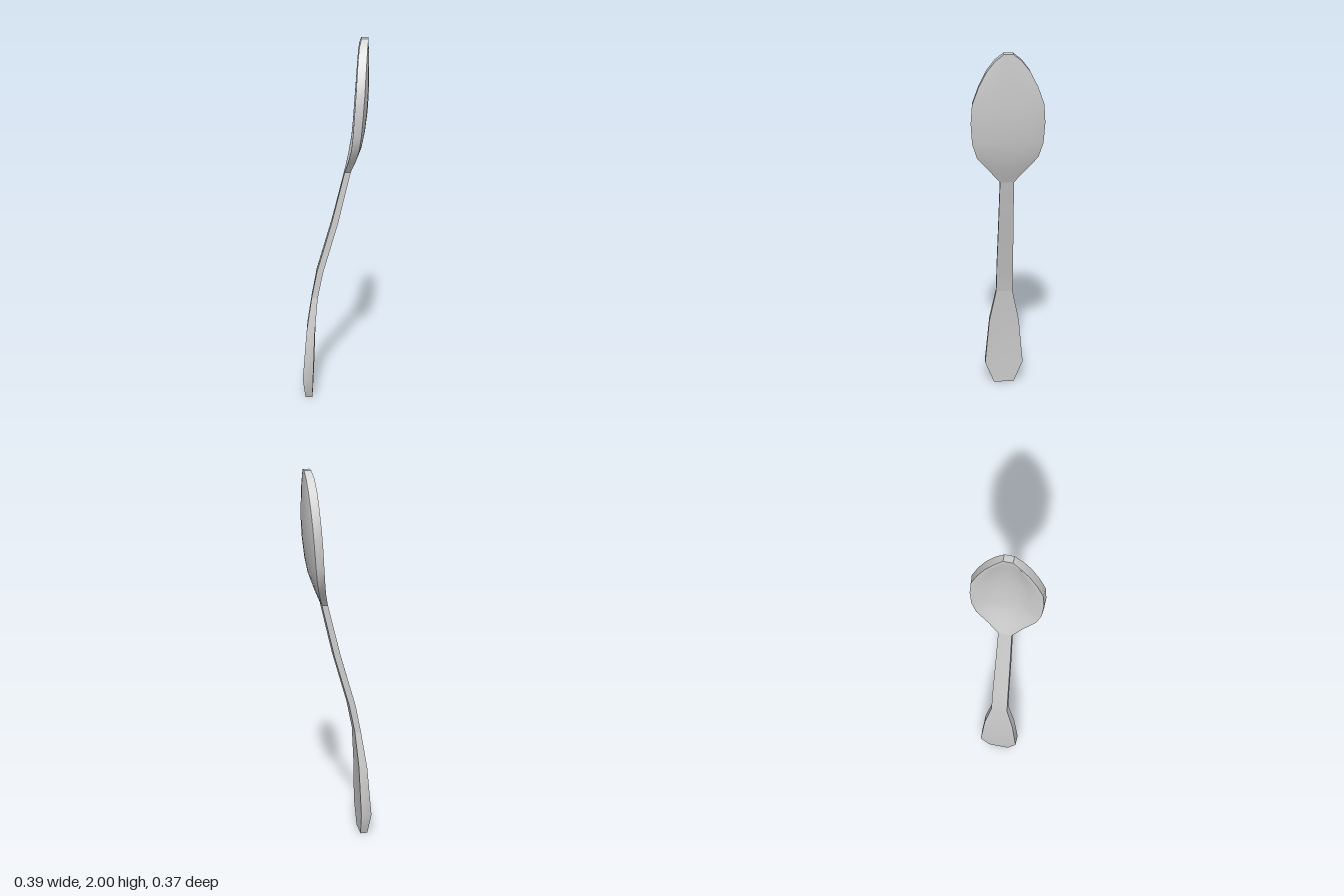
import * as THREE from 'three';
import { toCreasedNormals } from 'three/addons/utils/BufferGeometryUtils.js';

const W0 = -0.025; // sideways offset of the spoon's centre plane

// Station: [height, inner-face depth, outer-face depth, half width, dish of inner face, bulge of outer face]
const TAIL = [
  [0.00, -0.172, -0.134, 0.056, 0, 0],
  [0.13, -0.184, -0.128, 0.106, 0.008, -0.004],
  [0.40, -0.163, -0.118, 0.082, 0.006, -0.003],
  [0.59, -0.135, -0.102, 0.045, 0, 0],
];
const STEM = [
  TAIL[3],
  [0.74, -0.106, -0.072, 0.044, -0.003, 0],
  [1.02, -0.026, 0.008, 0.040, -0.003, 0],
  [1.30, 0.042, 0.073, 0.036, 0, 0],
];
const BOWL = [
  STEM[3],
  [1.37, 0.060, 0.096, 0.090, 0.014, 0.006],
  [1.45, 0.076, 0.116, 0.156, 0.030, 0.014],
  [1.53, 0.084, 0.126, 0.180, 0.040, 0.020],
  [1.64, 0.091, 0.135, 0.187, 0.046, 0.024],
  [1.74, 0.098, 0.142, 0.180, 0.046, 0.022],
  [1.83, 0.103, 0.147, 0.148, 0.038, 0.017],
  [1.91, 0.108, 0.152, 0.108, 0.026, 0.012],
  [1.965, 0.114, 0.156, 0.066, 0.012, 0.005],
  [2.00, 0.124, 0.160, 0.024, 0, 0],
];

// One closed cross-section: inner face with a flat lip, then the outer face back again
function ring([y, inner, outer, half, dish, bulge]) {
  const across = [-1, -0.87, -0.6, -0.3, 0, 0.3, 0.6, 0.87, 1];
  const front = across.map((f) => {
    const d = Math.max(0, 1 - (f / 0.87) ** 2);
    return new THREE.Vector3(inner + dish * d, y, W0 + f * half * 0.98);
  });
  const back = across.map((f) => {
    const b = 1 - Math.abs(f) ** 3;
    return new THREE.Vector3(outer + bulge * b, y, W0 + f * half);
  });
  return [...front, ...back.reverse()];
}

// Skin the stations, optionally closing the lowest or highest one
function loft(name, stations, capLow, capHigh) {
  const rings = stations.map(ring);
  const n = rings[0].length;
  const points = [];
  for (let i = 0; i < rings.length - 1; i++) {
    for (let j = 0; j < n; j++) {
      const k = (j + 1) % n;
      const a = rings[i][j], b = rings[i][k], c = rings[i + 1][k], d = rings[i + 1][j];
      points.push(a, b, c, a, c, d);
    }
  }
  const cap = (r, up) => {
    const mid = r.reduce((s, p) => s.add(p), new THREE.Vector3()).divideScalar(n);
    r.forEach((p, j) => {
      const q = r[(j + 1) % n];
      points.push(mid, ...(up ? [p, q] : [q, p]));
    });
  };
  if (capLow) cap(rings[0], false);
  if (capHigh) cap(rings[rings.length - 1], true);
  const geometry = toCreasedNormals(new THREE.BufferGeometry().setFromPoints(points), 0.6);
  const mesh = new THREE.Mesh(geometry, new THREE.MeshStandardMaterial({ color: 0xcccccc }));
  mesh.name = name;
  return mesh;
}

export function createModel() {
  const spoon = new THREE.Group();
  spoon.name = 'spoon';
  spoon.add(
    loft('handleEnd', TAIL, true, false),
    loft('handleStem', STEM, false, false),
    loft('bowl', BOWL, false, true),
  );
  // The whole spoon is turned slightly about its upright axis
  spoon.rotation.y = -0.24;
  const model = new THREE.Group();
  model.name = 'model';
  model.add(spoon);
  return model;
}
